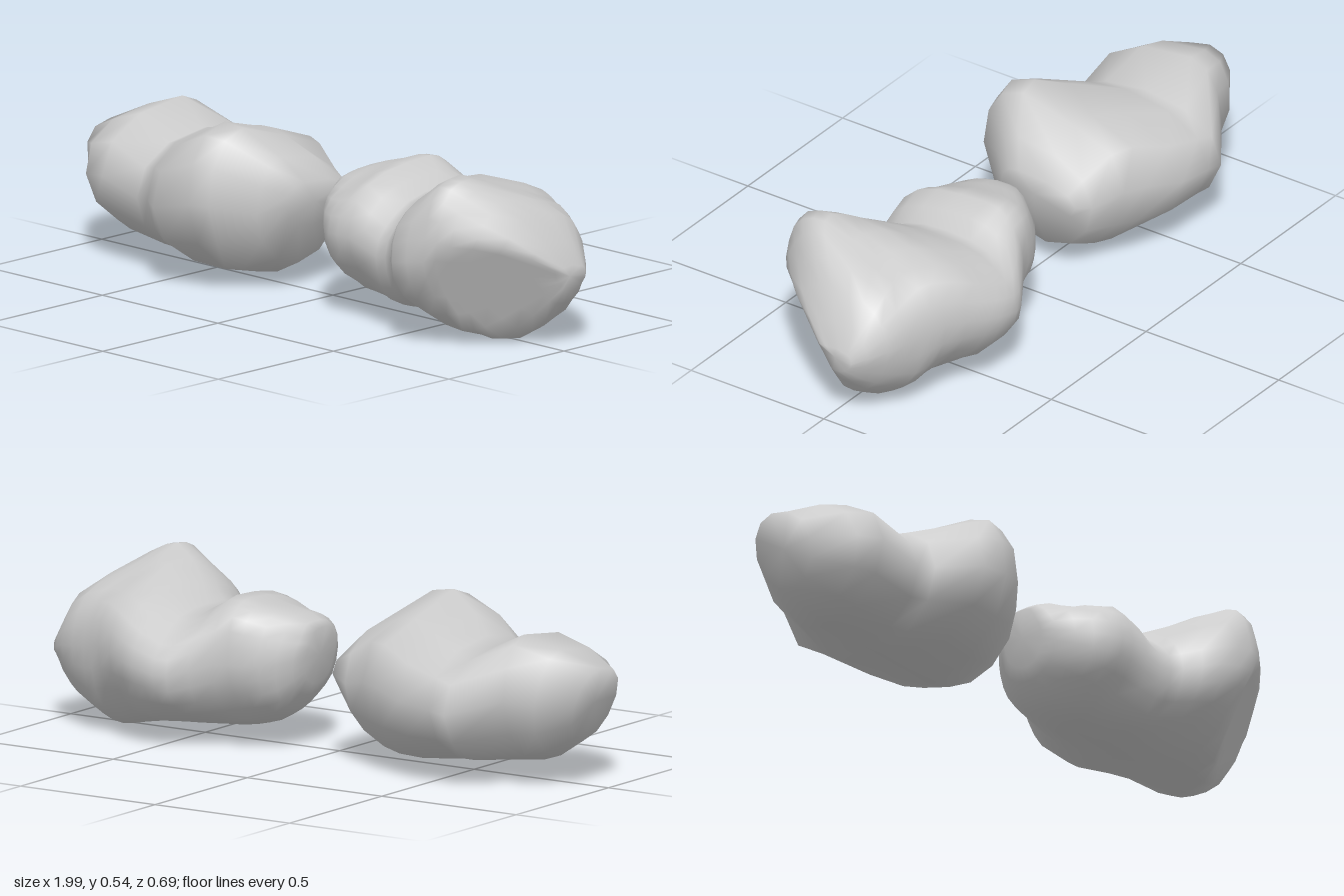
import * as THREE from 'three';

// Each station along x: [x, top, bottom, back z, front z, ridge z]
const FINE = [
  [0.065, 0.38, 0.20, -0.09, 0.07, -0.02],
  [0.12, 0.42, 0.12, -0.17, 0.165, -0.06],
  [0.21, 0.45, 0.07, -0.225, 0.23, -0.1],
  [0.30, 0.47, 0.05, -0.255, 0.235, -0.12],
  [0.42, 0.405, 0.04, -0.33, 0.235, -0.06],
  [0.50, 0.43, 0.04, -0.345, 0.25, 0],
  [0.59, 0.47, 0.03, -0.325, 0.335, 0.1],
  [0.72, 0.535, 0.005, -0.26, 0.33, 0.17],
  [0.80, 0.505, 0, -0.225, 0.295, 0.14],
  [0.91, 0.41, 0.075, -0.18, 0.2, 0.03],
  [0.995, 0.26, 0.18, -0.1, 0.03, -0.04],
];
const COARSE = [
  [-0.96, 0.375, 0.14, -0.13, 0.1, -0.03],
  [-0.86, 0.43, 0.08, -0.2, 0.21, -0.09],
  [-0.77, 0.47, 0.06, -0.235, 0.23, -0.12],
  [-0.62, 0.405, 0.042, -0.34, 0.23, -0.06],
  [-0.56, 0.425, 0.04, -0.335, 0.245, -0.02],
  [-0.44, 0.46, 0.025, -0.325, 0.34, 0.1],
  [-0.32, 0.515, 0.012, -0.275, 0.31, 0.15],
  [-0.25, 0.505, 0.025, -0.24, 0.29, 0.14],
  [-0.15, 0.42, 0.07, -0.19, 0.18, 0.08],
  [-0.09, 0.345, 0.2, -0.17, 0.11, 0.04],
];
const KEEL_Z = -0.01;

// Flat breaks: outward normal and distance
const plane = (x, y, z, d) => new THREE.Plane(new THREE.Vector3(x, y, z), -d).normalize();
const SLOPING_TOP = plane(0.2, 1, -0.33, 0.624);
const FRONT_CORNER = plane(0.65, -0.42, 0.63, 0.555);

// Splits each gap between stations into smooth steps
function refine(stations, steps) {
  const rows = [], n = stations.length - 1;
  const at = i => stations[Math.min(Math.max(i, 0), n)];
  for (let r = 0; r <= n * steps; r++) {
    const i = Math.floor(r / steps), t = r / steps - i;
    rows.push(at(i).map((p, c) => {
      const q = at(i + 1)[c], m0 = (q - at(i - 1)[c]) / 2, m1 = (at(i + 2)[c] - p) / 2;
      return p + t * (m0 + t * (3 * (q - p) - 2 * m0 - m1 + t * (2 * (p - q) + m0 + m1)));
    }));
  }
  return rows;
}

function rock(name, stations, { steps, sides, dents, lean, breaks }) {
  const pos = [], index = [];
  const rows = refine(stations, steps);
  const soft = (v, power) => Math.sign(v) * Math.abs(v) ** power;
  rows.forEach(([x, top, bottom, back, front, ridge], r) => {
    const mid = bottom + (top - bottom) * 0.53;
    // the end sections lean, fading out over two stations
    const fade = i => Math.max(0, 1 - i / steps / 2);
    const tilt = lean[0] * fade(r) + lean[1] * fade(rows.length - 1 - r);
    for (let j = 0; j < sides; j++) {
      const a = (j / sides) * Math.PI * 2, up = Math.cos(a) > 0;
      // fuller above, slightly tapered below
      const power = up ? 0.92 : 1.02;
      const c = soft(Math.cos(a), power), s = soft(Math.sin(a), power);
      const pivot = up ? ridge : KEEL_Z;
      const y = mid + c * (up ? top - mid : mid - bottom);
      const z = pivot + Math.abs(s) * ((s > 0 ? front : back) - pivot);
      // shallow dents between the four main profile lines
      const dent = dents * Math.sin(2 * a) ** 2 * (Math.sin(x * 17 + a * 3) + Math.sin(x * 29 - a * 2));
      const p = new THREE.Vector3(x + tilt * (y - mid), y + dent * c, z + dent * s);
      for (const face of breaks) {
        if (face.distanceToPoint(p) > 0) face.projectPoint(p.clone(), p);
      }
      pos.push(p.x, p.y, p.z);
    }
  });
  const last = (rows.length - 1) * sides;
  for (let i = 0; i < last; i += sides) {
    for (let j = 0; j < sides; j++) {
      const k = (j + 1) % sides;
      index.push(i + j, i + k, i + sides + j, i + k, i + sides + k, i + sides + j);
    }
  }
  // Close both ends with a fan around the ring's centre
  for (const start of [0, last]) {
    const centre = pos.length / 3, sum = [0, 0, 0];
    for (let j = 0; j < sides * 3; j++) sum[j % 3] += pos[start * 3 + j] / sides;
    pos.push(...sum);
    for (let j = 0; j < sides; j++) {
      const a = start + j, b = start + (j + 1) % sides;
      index.push(centre, ...(start ? [a, b] : [b, a]));
    }
  }
  const geometry = new THREE.BufferGeometry();
  geometry.setAttribute('position', new THREE.Float32BufferAttribute(pos, 3));
  geometry.setIndex(index);
  geometry.computeVertexNormals();
  const mesh = new THREE.Mesh(geometry, new THREE.MeshStandardMaterial({ color: 0xcccccc }));
  mesh.name = name;
  return mesh;
}

export function createModel() {
  const group = new THREE.Group();
  group.name = 'rocks';
  const coarseTop = SLOPING_TOP.clone().translate(new THREE.Vector3(-1.05, 0, 0));
  group.add(
    rock('detailedRock', FINE, {
      steps: 2, sides: 24, dents: 0.007, lean: [-0.15, 0], breaks: [SLOPING_TOP, FRONT_CORNER],
    }),
    rock('simpleRock', COARSE, {
      steps: 1, sides: 12, dents: 0, lean: [-0.32, 0.1], breaks: [coarseTop],
    }),
  );
  return group;
}
